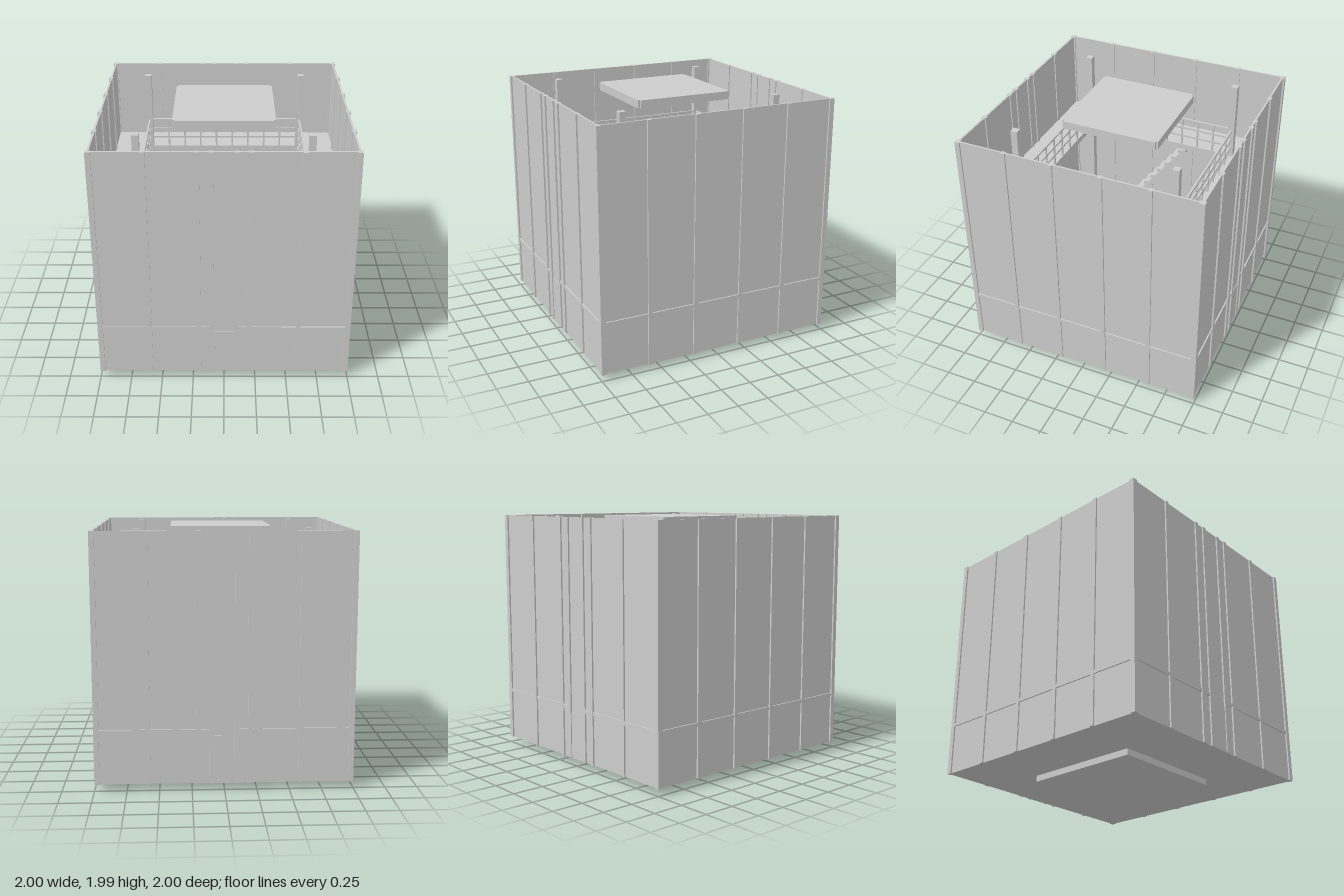
import * as THREE from 'three';

const grey = new THREE.MeshStandardMaterial({ color: 0xcccccc });
grey.name = 'light grey';

const TOP = 1.99, BASE = 0.05, DECK = 1.32;

// Box given by its lower and upper limits on each axis
function box(parent, name, x0, x1, y0, y1, z0, z1) {
  const mesh = new THREE.Mesh(new THREE.BoxGeometry(x1 - x0, y1 - y0, z1 - z0), grey);
  mesh.position.set((x0 + x1) / 2, (y0 + y1) / 2, (z0 + z1) / 2);
  mesh.name = name;
  parent.add(mesh);
  return mesh;
}

function square(half, Type = THREE.Shape) {
  return new Type([[-half, -half], [half, -half], [half, half], [-half, half]]
    .map(([x, y]) => new THREE.Vector2(x, y)));
}

// Flat shape lying in the xz plane, from height y0 to y1
function slab(parent, name, shape, y0, y1) {
  const geo = new THREE.ExtrudeGeometry(shape, { depth: y1 - y0, bevelEnabled: false });
  geo.rotateX(-Math.PI / 2);
  const mesh = new THREE.Mesh(geo, grey);
  mesh.position.y = y0;
  mesh.name = name;
  parent.add(mesh);
}

function ringShape(outer, inner) {
  const shape = square(outer);
  shape.holes.push(square(inner, THREE.Path));
  return shape;
}

// One wall facing +z, with upright strips and a low horizontal band
function makeWall(name, strips, hasDoor) {
  const wall = new THREE.Group();
  wall.name = name;
  box(wall, 'wallPanel', -0.985, 0.985, BASE, TOP, 0.972, 0.987);
  for (const x of strips) {
    for (const s of [-1, 1]) {
      box(wall, 'wallStrip', s * x - 0.018, s * x + 0.018, BASE, TOP, 0.963, 1);
    }
  }
  if (hasDoor) {
    for (const s of [-1, 1]) {
      const a = s * 0.11, b = s * 0.965;
      box(wall, 'wallBand', Math.min(a, b), Math.max(a, b), 0.455, 0.482, 0.972, 0.998);
    }
    box(wall, 'door', -0.078, 0.078, BASE, 0.432, 0.967, 0.992);
  } else {
    box(wall, 'wallBand', -0.965, 0.965, 0.455, 0.482, 0.972, 0.998);
  }
  return wall;
}

// Railing on the +z side of the opening
function makeRailing() {
  const rail = new THREE.Group();
  rail.name = 'railing';
  for (const y of [1.4, 1.48, 1.565]) {
    box(rail, 'rail', -0.64, 0.64, y, y + 0.016, 0.658, 0.674);
  }
  for (let i = 1; i < 9; i++) {
    const x = -0.64 + (i * 1.28) / 9;
    box(rail, 'baluster', x - 0.007, x + 0.007, DECK, 1.57, 0.659, 0.673);
  }
  return rail;
}

export function createModel() {
  const model = new THREE.Group();
  model.name = 'hall';

  // Foundation and ground floor
  box(model, 'foundation', -0.49, 0.49, 0, BASE, -0.49, 0.49);
  box(model, 'groundFloor', -0.985, 0.985, BASE, 0.08, -0.985, 0.985);
  slab(model, 'floorRim', ringShape(0.49, 0.475), 0.08, 0.1);

  // Four walls
  for (let i = 0; i < 4; i++) {
    const wide = i % 2 === 0;
    const wall = makeWall(['frontWall', 'leftWall', 'backWall', 'rightWall'][i],
      wide ? [0.588, 0.198, 0.096] : [0.59, 0.2], wide);
    wall.rotation.y = (i * Math.PI) / 2;
    model.add(wall);
  }

  // Corner columns of the shell and posts around the opening
  for (const sx of [-1, 1]) {
    for (const sz of [-1, 1]) {
      const corner = box(model, 'cornerColumn', -0.02, 0.02, BASE, TOP, -0.02, 0.02);
      corner.position.x = sx * 0.98;
      corner.position.z = sz * 0.98;
      const post = box(model, 'post', -0.027, 0.027, 0.08, TOP, -0.027, 0.027);
      post.position.x = sx * 0.665;
      post.position.z = sz * 0.665;
    }
  }

  // Upper gallery with railings
  slab(model, 'gallery', ringShape(0.975, 0.657), DECK - 0.05, DECK);
  for (let i = 0; i < 4; i++) {
    const rail = makeRailing();
    rail.rotation.y = (i * Math.PI) / 2;
    model.add(rail);
  }

  // Stair along one side, with a sloping stringer
  const stair = new THREE.Group();
  stair.name = 'stair';
  const steps = 14, run = 0.91 / steps, rise = (DECK - 0.13) / steps;
  for (let i = 0; i < steps; i++) {
    const z = 0.65 - i * run, y = 0.08 + (i + 1) * rise;
    box(stair, 'step', -0.78, -0.632, y - 0.03, y, z - run, z);
  }
  const length = Math.hypot(0.91, DECK - 0.13);
  const stringer = box(stair, 'stringer', -0.632, -0.62, -0.02, 0.02, -length / 2, length / 2);
  stringer.position.y = (0.08 + DECK - 0.05) / 2;
  stringer.position.z = 0.195;
  stringer.rotation.x = Math.atan2(DECK - 0.13, 0.91);
  model.add(stair);

  // Ceiling panel with notched corners
  const a = 0.403, b = 0.385;
  const outline = [[b, -a], [b, -b], [a, -b], [a, b], [b, b], [b, a],
    [-b, a], [-b, b], [-a, b], [-a, -b], [-b, -b], [-b, -a]];
  slab(model, 'ceilingPanel', new THREE.Shape(outline.map(([x, y]) => new THREE.Vector2(x, y))), TOP - 0.065, TOP);

  return model;
}
